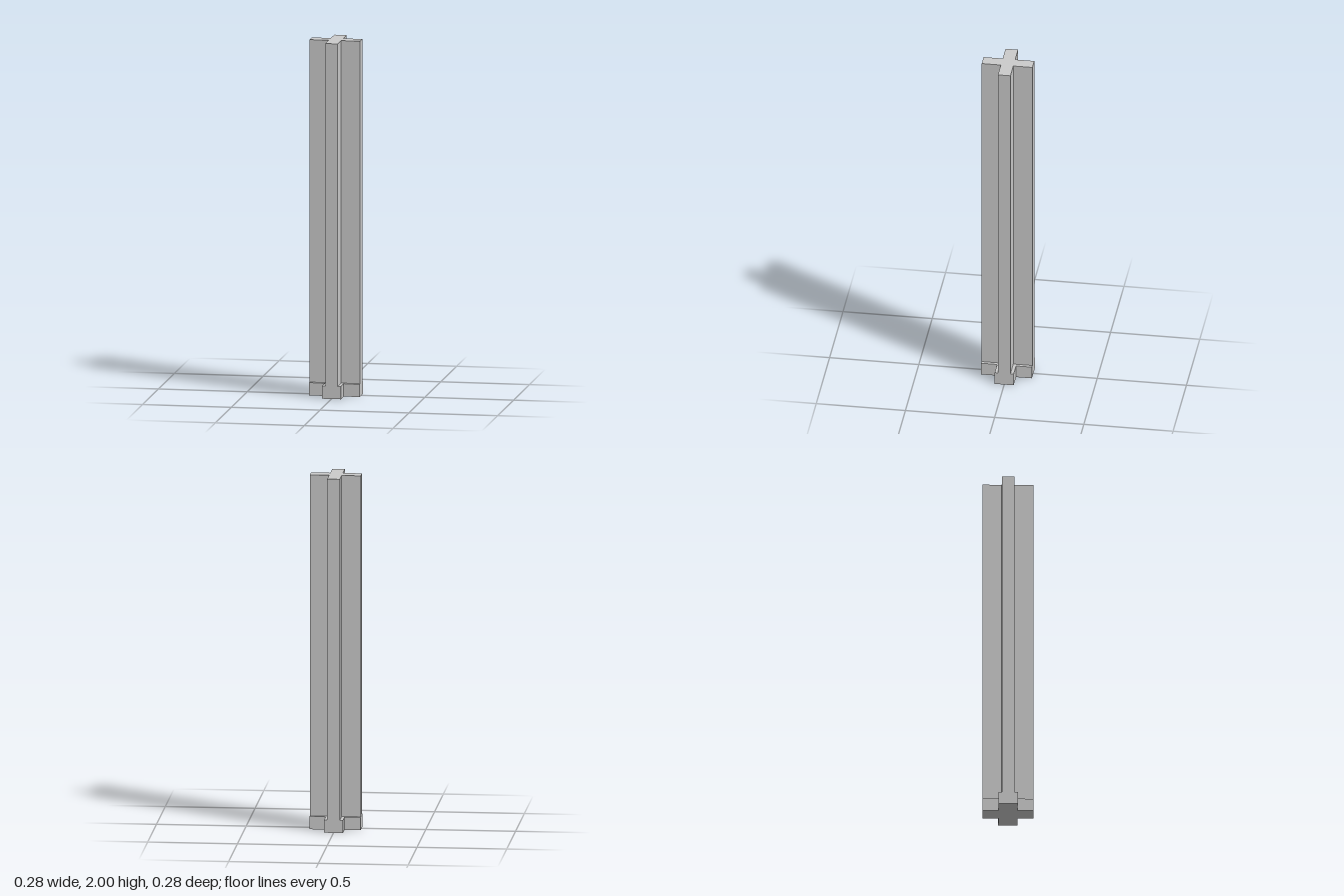
import * as THREE from 'three';

const REACH = 0.142;       // centre to the end of each arm
const BASE_HEIGHT = 0.072;
const HEIGHT = 2;

// Plus-shaped outline with arms of the given half width
function crossShape(w) {
  const points = [];
  for (let i = 0; i < 4; i++) {
    const turn = i * Math.PI / 2;
    for (const [x, y] of [[REACH, -w], [REACH, w], [w, w]]) {
      points.push(new THREE.Vector2(x, y).rotateAround(new THREE.Vector2(), turn));
    }
  }
  return new THREE.Shape(points);
}

// Upright cross-shaped prism from y0 to y1
function crossPrism(name, w, y0, y1, material) {
  const geometry = new THREE.ExtrudeGeometry(crossShape(w), { depth: y1 - y0, bevelEnabled: false });
  geometry.rotateX(-Math.PI / 2);
  geometry.translate(0, y0, 0);
  const mesh = new THREE.Mesh(geometry, material);
  mesh.name = name;
  return mesh;
}

export function createModel() {
  const group = new THREE.Group();
  group.name = 'crossPost';
  const material = new THREE.MeshStandardMaterial({ color: 0xcccccc, flatShading: true });

  // Wider foot, then the slim shaft on top of it
  group.add(crossPrism('base', 0.053, 0, BASE_HEIGHT, material));
  group.add(crossPrism('shaft', 0.035, BASE_HEIGHT, HEIGHT, material));
  return group;
}
